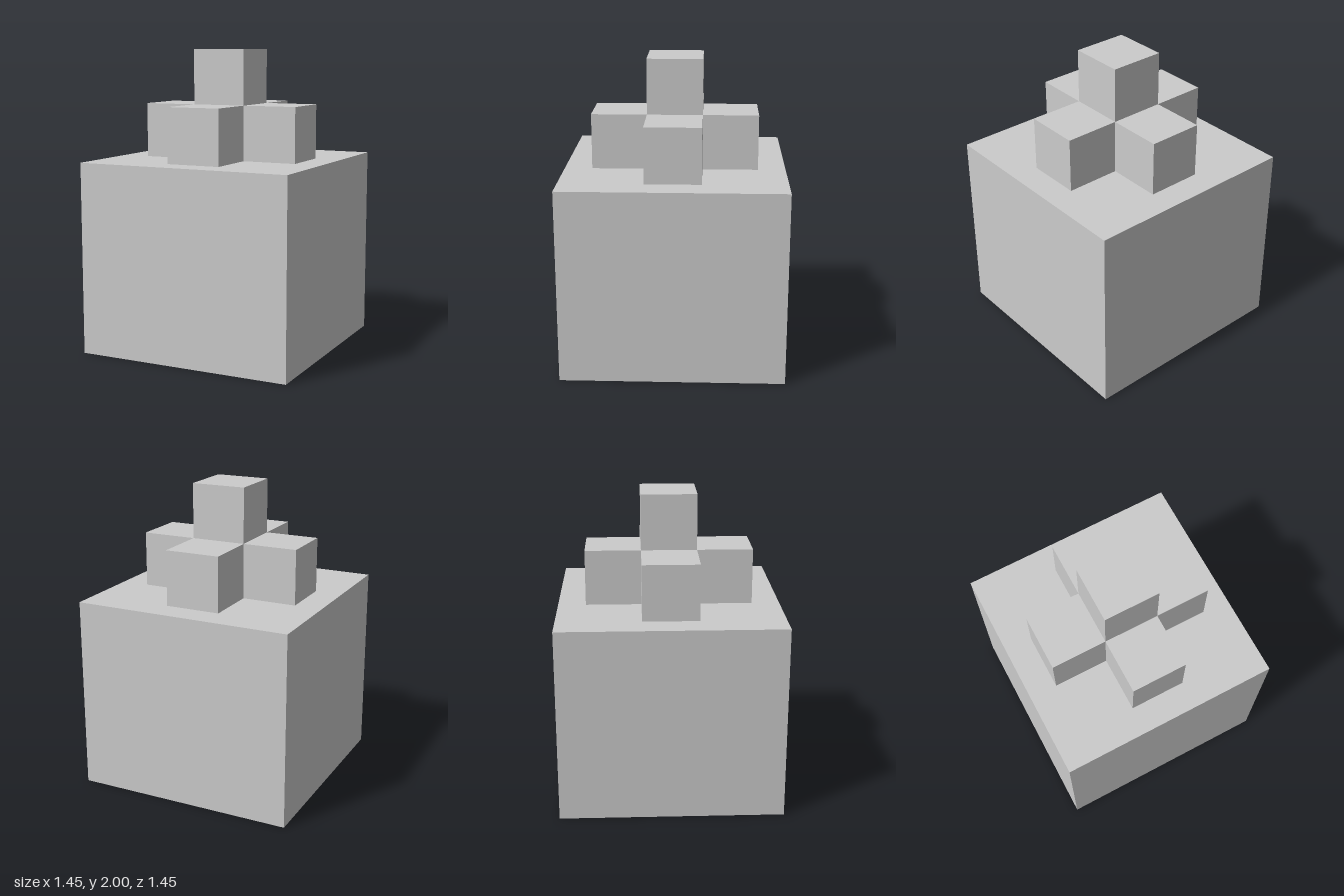
import * as THREE from 'three';

const U = 2 / 11; // grid unit: the model is 11 units tall

export function createModel() {
  const model = new THREE.Group();
  model.name = 'steppedBlock';
  const material = new THREE.MeshStandardMaterial({ color: 0xcccccc, flatShading: true });

  // Box standing on height y, sizes and positions in grid units
  function block(name, w, h, d, x, y, z) {
    const mesh = new THREE.Mesh(new THREE.BoxGeometry(w * U, h * U, d * U), material);
    mesh.name = name;
    mesh.position.set(x * U, (y + h / 2) * U, z * U);
    model.add(mesh);
  }

  // Large base block
  block('base', 8, 7, 8, 0, 0, 0);

  // Central post, two cubes high
  block('centrePost', 2, 4, 2, 0, 7, 0);

  // Four cubes forming a cross around the post
  const arms = [['leftArm', 2, 0], ['rightArm', -2, 0], ['frontArm', 0, 2], ['backArm', 0, -2]];
  for (const [name, x, z] of arms) block(name, 2, 2, 2, x, 7, z);

  return model;
}
